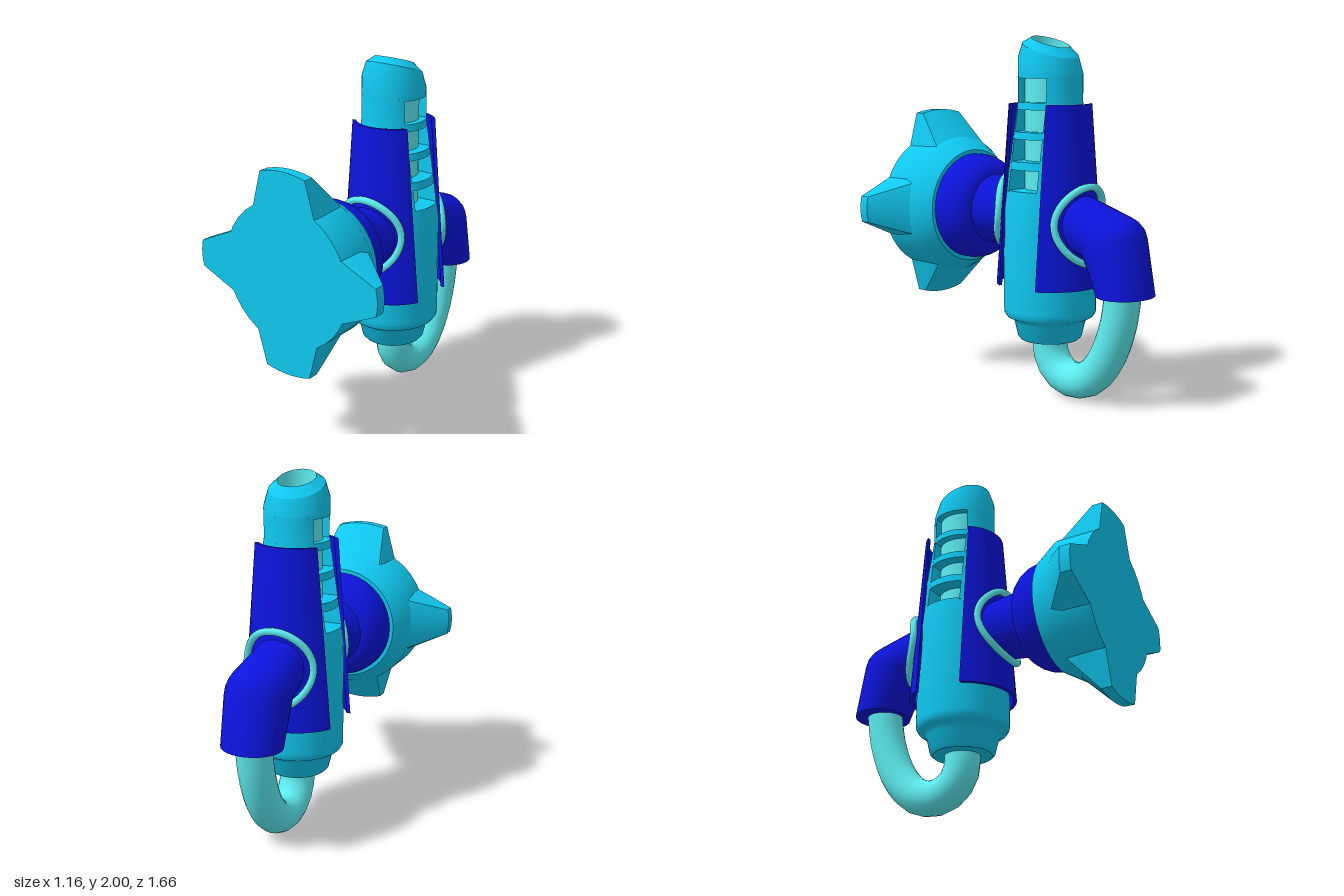
import * as THREE from 'three';
import { toCreasedNormals } from 'three/addons/utils/BufferGeometryUtils.js';

const cyan = new THREE.MeshStandardMaterial({ color: 0x10c8f0 });
const pale = new THREE.MeshStandardMaterial({ color: 0x5cecf0 });
const blue = new THREE.MeshStandardMaterial({ color: 0x0c14dc });
const blueThin = new THREE.MeshStandardMaterial({ color: 0x0c14dc, side: THREE.DoubleSide });
const { lerp } = THREE.MathUtils;

const AXIS = -0.135; // z of the upright body axis
const CUT = 0.105;   // half width of the side slots
const bodyR = (y) => lerp(0.26, 0.18, THREE.MathUtils.clamp((y - 1.05) / 0.59, 0, 1));
const shellR = (y) => lerp(0.30, 0.23, y - 0.63);

function add(parent, name, geo, mat) {
  const mesh = new THREE.Mesh(geo, mat);
  mesh.name = name;
  parent.add(mesh);
  return mesh;
}

const lathe = (pts) => toCreasedNormals(
  new THREE.LatheGeometry(pts.map(([r, y]) => new THREE.Vector2(r, y)), 36), 0.6);

// Box whose unit coordinates (u -1..1, v 0..1, w 0..1) are bent by a rule
function bentBox(nu, nv, nw, rule) {
  const geo = new THREE.BoxGeometry(2, 1, 1, nu, nv, nw);
  const p = geo.attributes.position;
  for (let i = 0; i < p.count; i++) {
    p.setXYZ(i, ...rule(p.getX(i), p.getY(i) + 0.5, p.getZ(i) + 0.5));
  }
  return toCreasedNormals(geo, 0.6);
}

// Skin over elliptical rings, each given by top and bottom [z, y] and half width
function skin(rings, n = 28) {
  const pos = [], idx = [];
  rings.forEach(([zt, yt, zb, yb, w], i) => {
    for (let j = 0; j <= n; j++) {
      const t = (j / n) * Math.PI * 2, s = Math.sin(t) / 2;
      pos.push(w * Math.cos(t), (yt + yb) / 2 + (yt - yb) * s, (zt + zb) / 2 + (zt - zb) * s);
      if (i && j) {
        const d = i * (n + 1) + j, c = d - 1, b = d - n - 1, a = b - 1;
        idx.push(a, c, b, b, c, d);
      }
    }
  });
  const geo = new THREE.BufferGeometry();
  geo.setAttribute('position', new THREE.Float32BufferAttribute(pos, 3));
  geo.setIndex(idx);
  return toCreasedNormals(geo, 0.7);
}

function makeBody() {
  const body = new THREE.Group();
  body.name = 'body';
  body.position.z = AXIS;
  add(body, 'lowerBody', lathe([[0, 0.31], [0.165, 0.31], [0.18, 0.325], [0.2, 0.41], [0.215, 0.43],
    [0.245, 0.445], [0.258, 0.465], [0.26, 0.49], [0.26, 1.05], [bodyR(1.16), 1.16], [0.12, 1.16]]), cyan);

  // Ribs between the slots
  for (const [y0, y1] of [[1.275, 1.32], [1.44, 1.48], [1.60, 1.64]]) {
    add(body, 'rib', lathe([[0.12, y0], [bodyR(y0), y0], [bodyR(y1), y1], [0.12, y1]]), cyan);
  }
  // Solid front and back walls that bound the slots
  const wall = bentBox(14, 4, 1, (u, v, w) => {
    const y = [1.15, 1.32, 1.48, 1.64, 1.78][Math.round(v * 4)], r = bodyR(y);
    const a = u * Math.acos(CUT / r);
    return [r * Math.sin(a), y, w > 0.5 ? r * Math.cos(a) : CUT];
  });
  add(body, 'frontWall', wall, cyan);
  add(body, 'backWall', wall, cyan).rotation.y = Math.PI;
  add(body, 'liner', new THREE.CylinderGeometry(0.14, 0.14, 0.66, 36, 1, true).translate(0, 1.46, 0), pale);

  // Slanted mouth: upper rings are sheared along z
  const slant = (geo) => {
    const p = geo.attributes.position;
    for (let i = 0; i < p.count; i++) {
      if (p.getY(i) > 1.8) p.setY(i, p.getY(i) + 0.32 * p.getZ(i));
    }
    return toCreasedNormals(geo, 0.4);
  };
  add(body, 'mouth', slant(lathe([[0.12, 1.77], [0.18, 1.77], [0.18, 1.84], [0.155, 1.925], [0.105, 1.967]])), cyan);
  add(body, 'bore', slant(lathe([[0.105, 1.967], [0.105, 1.25], [0, 1.25]])), pale);
  return body;
}

// Flared half shell, cut off flat beside the body, with a collar lying on it
function makeShell(name, collarY) {
  const side = new THREE.Group();
  side.name = name;
  add(side, 'shell', bentBox(24, 1, 1, (u, v, w) => {
    const y = lerp(0.63, 1.63, v), r = shellR(y) - (1 - w) * 0.02;
    const a = u * Math.acos(0.137 / r);
    return [r * Math.sin(a), y, r * Math.cos(a)];
  }), blueThin);
  const pts = [];
  for (let i = 0; i < 32; i++) {
    const t = (i / 32) * Math.PI * 2, x = 0.2 * Math.cos(t), y = collarY + 0.21 * Math.sin(t);
    pts.push(new THREE.Vector3(x, y, Math.sqrt(shellR(y) ** 2 - x * x) + 0.025));
  }
  add(side, 'collar', new THREE.TubeGeometry(new THREE.CatmullRomCurve3(pts, true), 48, 0.021, 8, true), pale);
  side.position.z = AXIS;
  return side;
}

// Hand wheel with four tapering lobes, on a domed neck
function makeWheel() {
  const wheel = new THREE.Group();
  wheel.name = 'handWheel';
  wheel.position.y = 1.01;
  add(wheel, 'neck', lathe([[0.16, 0.05], [0.19, 0.285], [0.2, 0.297], [0.22, 0.302], [0.245, 0.315],
    [0.275, 0.35], [0.298, 0.395], [0.308, 0.44], [0.308, 0.5]]).rotateX(Math.PI / 2), blue);
  add(wheel, 'wheelDisc', lathe([[0, 0.485], [0.33, 0.485], [0.4, 0.6], [0.4, 0.83], [0, 0.83]])
    .rotateX(Math.PI / 2), cyan);
  const lobe = (base, tipW, tip, bulge) => bentBox(8, 1, 2, (u, v, w) => {
    const k = Math.round(w * 2);
    const rho = v < 0.5 ? 0.2 : k ? tip : 0.39;
    const half = lerp(base, tipW, (rho - 0.35) / (tip - 0.35));
    const drop = v < 0.5 ? 0 : k ? bulge : 0.045;
    return [u * half, rho - drop * u * u, [0.595, 0.77, 0.83][k]];
  });
  const tall = lobe(0.2, 0.145, 0.56, 0.02), wide = lobe(0.175, 0.075, 0.58, 0.01);
  for (let i = 0; i < 4; i++) {
    add(wheel, 'wheelLobe', i % 2 ? wide : tall, cyan).rotation.z = i * Math.PI / 2;
  }
  return wheel;
}

export function createModel() {
  const model = new THREE.Group();
  model.name = 'valve';
  model.add(makeBody(), makeWheel(), makeShell('frontShell', 1.02));
  const back = makeShell('backShell', 0.98);
  back.rotation.y = Math.PI;
  model.add(back);

  // Bent outlet at the back
  add(model, 'elbow', skin([
    [-0.30, 1.17, -0.30, 0.83, 0.145],
    [-0.66, 1.055, -0.44, 0.81, 0.174],
    [-0.71, 1.035, -0.445, 0.80, 0.177],
    [-0.75, 1.0, -0.45, 0.785, 0.18],
    [-0.77, 0.95, -0.46, 0.77, 0.18],
    [-0.83, 0.632, -0.53, 0.632, 0.172],
    [-0.68, 0.632, -0.68, 0.632, 0],
  ]), blue);

  // Hose looping from the elbow to the foot of the body
  const path = [[-0.135, 0.36], [-0.142, 0.23], [-0.2, 0.14], [-0.3, 0.1], [-0.43, 0.13],
    [-0.545, 0.25], [-0.63, 0.45], [-0.67, 0.68]].map(([z, y]) => new THREE.Vector3(0, y, z));
  add(model, 'hose', new THREE.TubeGeometry(new THREE.CatmullRomCurve3(path), 16, 0.1, 20), pale);
  return model;
}
